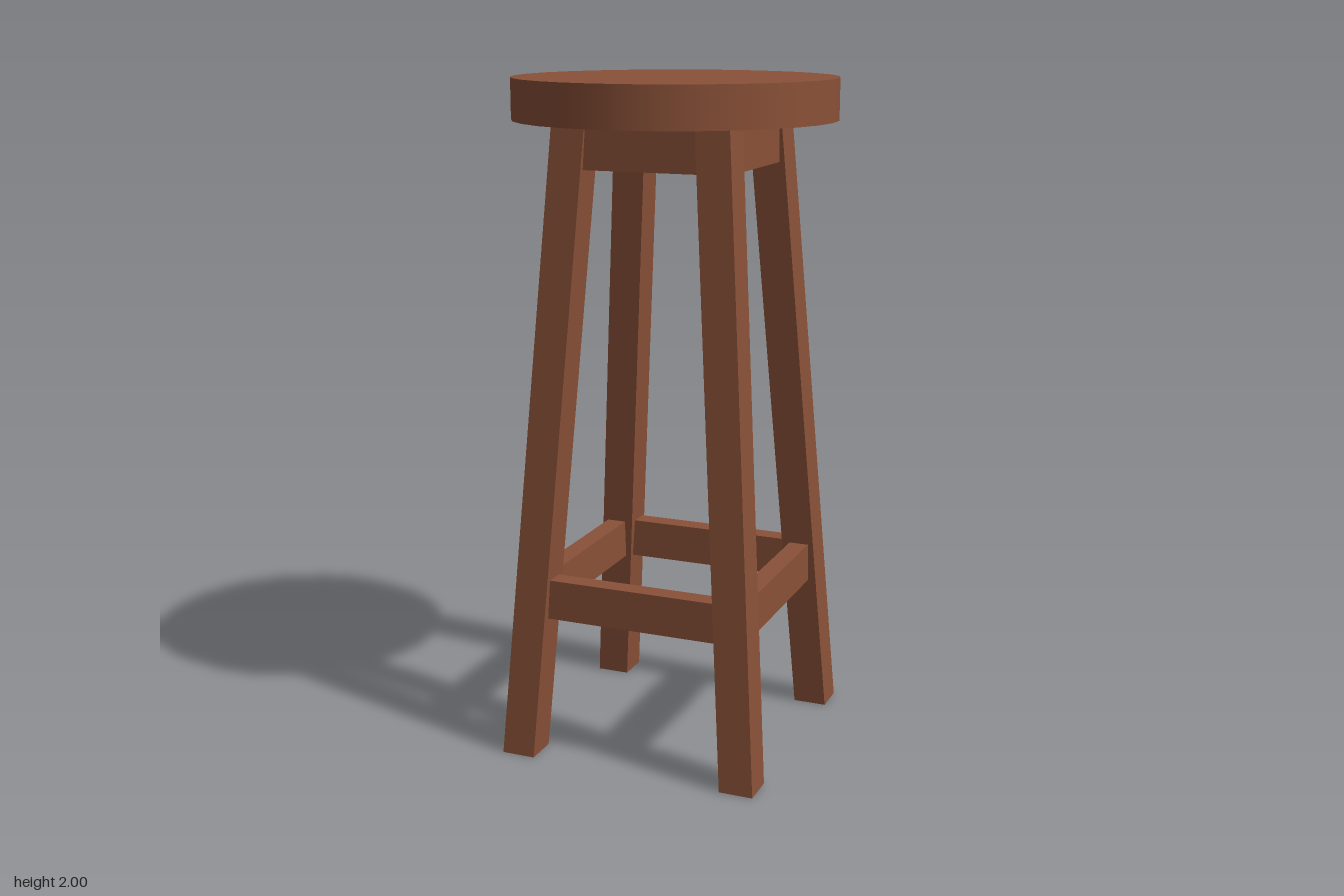
import * as THREE from 'three';

const SEAT_BOTTOM = 1.88;
const FOOT = 0.349; // leg centre offset at the floor
const HEAD = 0.216; // leg centre offset under the seat

// Leg centre offset at height y
const legOffset = (y) => FOOT + (HEAD - FOOT) * (y / SEAT_BOTTOM);

// Splayed leg: a box sheared outwards, with level ends
function makeLeg(sx, sz, material) {
  const geometry = new THREE.BoxGeometry(0.102, SEAT_BOTTOM, 0.102);
  geometry.translate(0, SEAT_BOTTOM / 2, 0);
  const p = geometry.attributes.position;
  for (let i = 0; i < p.count; i++) {
    const offset = legOffset(p.getY(i));
    p.setX(i, p.getX(i) + sx * offset);
    p.setZ(i, p.getZ(i) + sz * offset);
  }
  geometry.computeVertexNormals();
  return new THREE.Mesh(geometry, material);
}

// Four bars joining the legs in a square, ends buried in the legs
function makeBars(name, bottom, top, thickness, material) {
  const group = new THREE.Group();
  group.name = name + 's';
  const y = (bottom + top) / 2;
  const offset = legOffset(y);
  const geometry = new THREE.BoxGeometry(offset * 2 - 0.04, top - bottom, thickness);
  ['Front', 'Left', 'Back', 'Right'].forEach((side, i) => {
    const angle = (i * Math.PI) / 2;
    const bar = new THREE.Mesh(geometry, material);
    bar.name = name + side;
    bar.position.set(Math.sin(angle) * offset, y, Math.cos(angle) * offset);
    bar.rotation.y = angle;
    group.add(bar);
  });
  return group;
}

export function createModel() {
  const wood = new THREE.MeshStandardMaterial({ color: 0x8a5138 });
  wood.name = 'brown wood';

  const stool = new THREE.Group();
  stool.name = 'barStool';

  // Round seat
  const seat = new THREE.Mesh(
    new THREE.CylinderGeometry(0.473, 0.473, 2 - SEAT_BOTTOM, 30, 1, false, Math.PI / 2),
    wood
  );
  seat.name = 'seat';
  seat.position.y = (2 + SEAT_BOTTOM) / 2;
  stool.add(seat);

  // Legs
  for (const sx of [-1, 1]) {
    for (const sz of [-1, 1]) {
      const leg = makeLeg(sx, sz, wood);
      leg.name = (sz > 0 ? 'front' : 'back') + (sx > 0 ? 'Left' : 'Right') + 'Leg';
      stool.add(leg);
    }
  }

  // Aprons under the seat and foot rails
  stool.add(makeBars('apron', 1.75, SEAT_BOTTOM, 0.08, wood));
  stool.add(makeBars('footRail', 0.43, 0.55, 0.06, wood));

  return stool;
}
